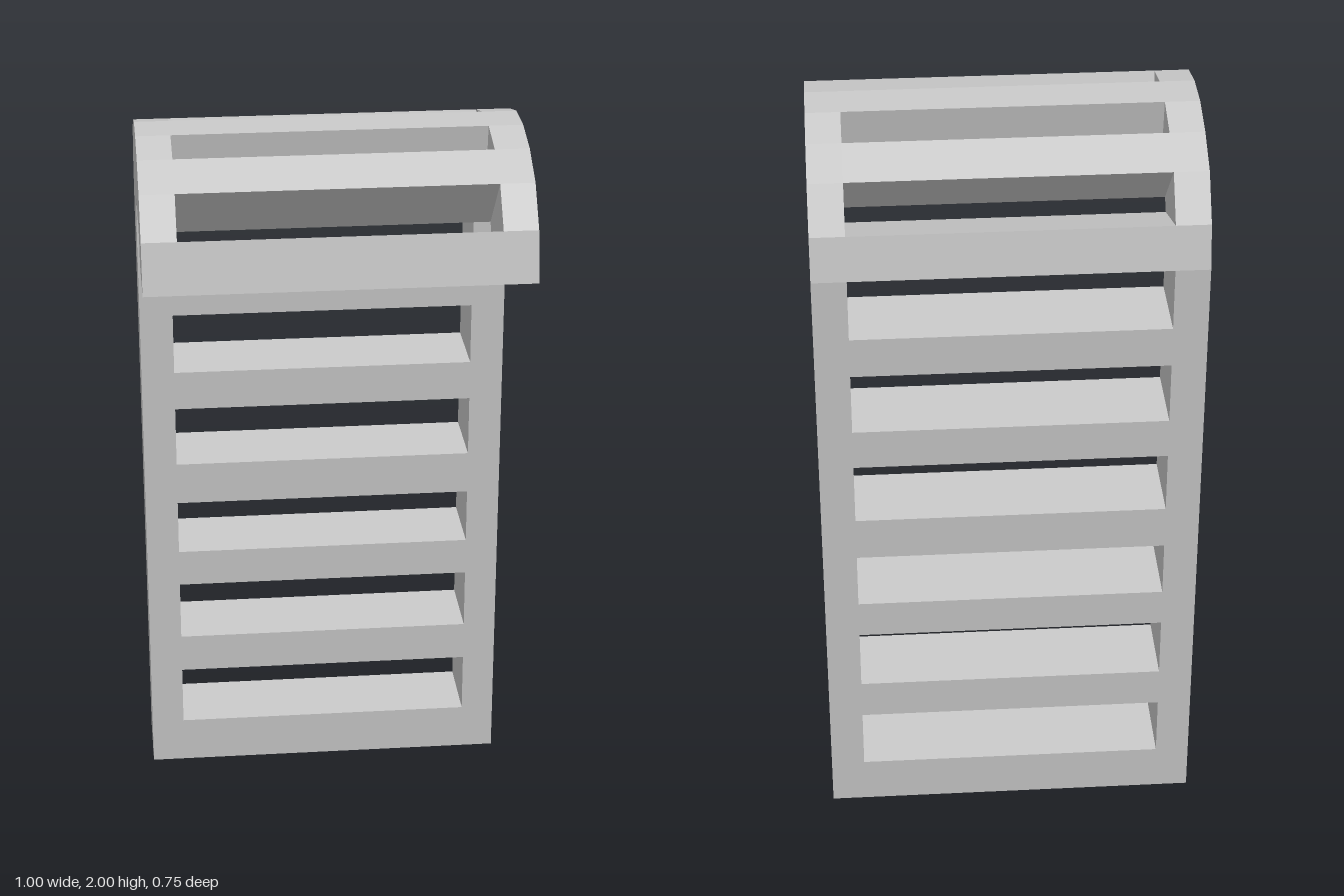
import * as THREE from 'three';

const material = new THREE.MeshStandardMaterial({ color: 0xcccccc, flatShading: true });
const HALF = 0.5, INNER = 0.41;

// Matching outer and inner points (z, y) of the curved top, back to front
const outer = [
  [-0.375, 1.69], [-0.35, 1.805], [-0.275, 1.915], [-0.17, 1.97], [-0.06, 2],
  [0.055, 2], [0.168, 1.975], [0.272, 1.92], [0.35, 1.822], [0.38, 1.69],
];
const inner = [
  [-0.165, 1.69], [-0.155, 1.735], [-0.13, 1.765], [-0.09, 1.783], [-0.03, 1.79],
  [0.03, 1.79], [0.09, 1.783], [0.13, 1.765], [0.155, 1.735], [0.165, 1.69],
];

// Extrudes a (z, y) outline across x from x0 to x1
function slab(name, points, x0, x1) {
  const shape = new THREE.Shape(points.map(([z, y]) => new THREE.Vector2(z, y)));
  const geometry = new THREE.ExtrudeGeometry(shape, { depth: x1 - x0, bevelEnabled: false });
  geometry.rotateY(-Math.PI / 2).translate(x1, 0, 0);
  const mesh = new THREE.Mesh(geometry, material);
  mesh.name = name;
  return mesh;
}

export function createModel() {
  const group = new THREE.Group();
  group.name = 'hookedLadder';

  // Hook-shaped side rails
  const hook = [[-0.375, 0], ...outer, ...[...inner].reverse(), [-0.165, 0]];
  group.add(slab('leftRail', hook, INNER, HALF));
  group.add(slab('rightRail', hook, -HALF, -INNER));

  // Rungs of the straight part
  const levels = [[0, 0.13], [0.3, 0.41], [0.58, 0.685], [0.84, 0.96], [1.13, 1.24], [1.41, 1.52]];
  levels.forEach(([a, b], i) => {
    const outline = [[-0.375, a], [-0.375, b], [-0.165, b], [-0.165, a]];
    group.add(slab(`rung${i + 1}`, outline, -INNER, INNER));
  });

  // Wedge rungs over every other step of the curved top
  for (let i = 0; i < 9; i += 2) {
    const outline = [outer[i], outer[i + 1], inner[i + 1], inner[i]];
    group.add(slab(`curvedRung${i / 2 + 1}`, outline, -INNER, INNER));
  }
  return group;
}
